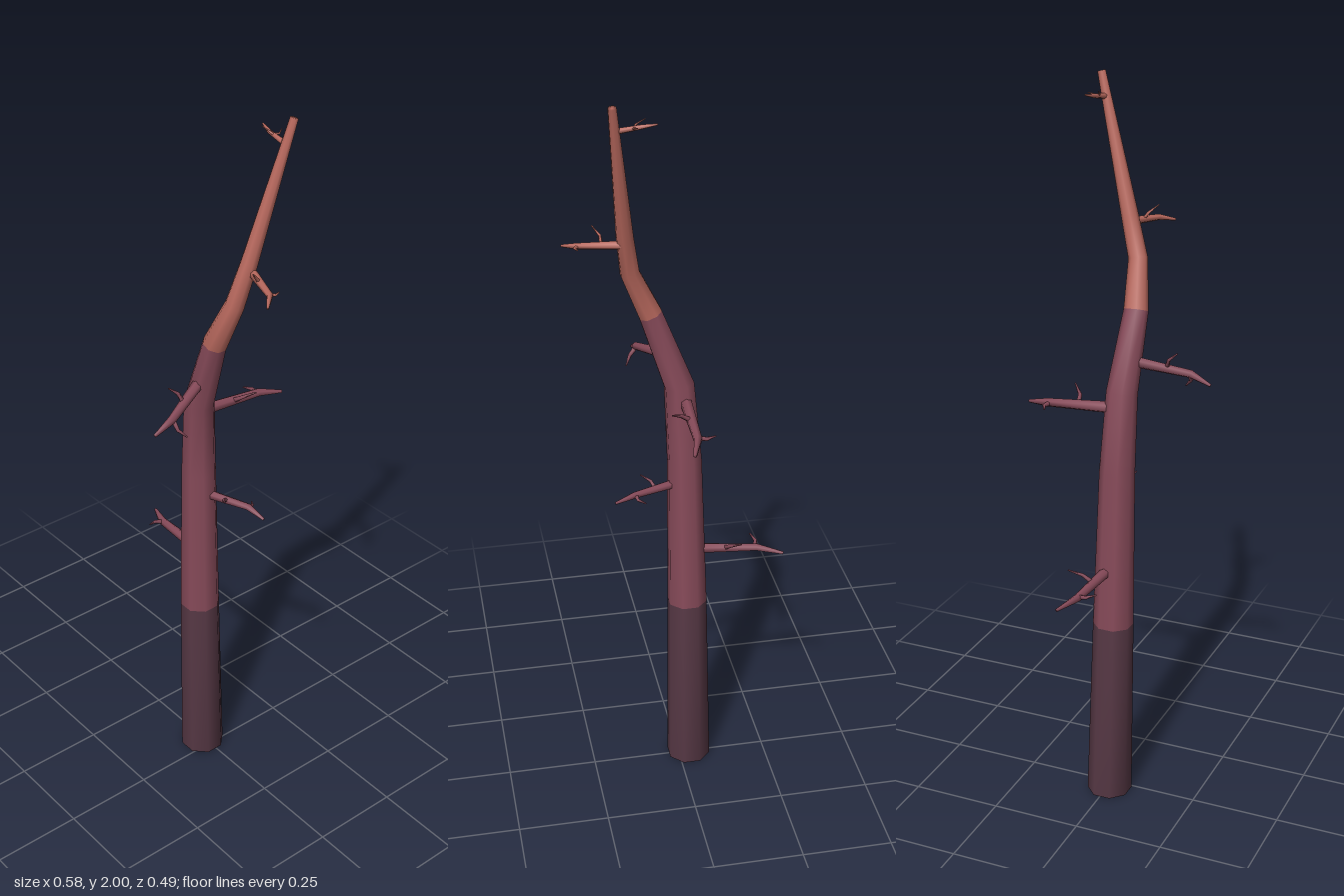
import * as THREE from 'three';

const material = (name, color) => {
  const m = new THREE.MeshStandardMaterial({ color });
  m.name = name;
  return m;
};

// Closed tapered limb through centres with radii; bands = [[firstRing, materialIndex], ...]
function limb(centres, radii, sides, ref, bands = [[0, 0]], flatStart = false) {
  const last = centres.length - 1;
  const pos = [], index = [];
  const dir = (a, b) => centres[b].clone().sub(centres[a]).normalize();
  centres.forEach((centre, i) => {
    const t = new THREE.Vector3();
    if (i > 0) t.add(dir(i - 1, i));
    if (i < last) t.add(dir(i, i + 1));
    t.normalize();
    if (flatStart && i === 0) t.set(0, 1, 0);
    const u = ref.clone().cross(t).normalize();
    const v = t.clone().cross(u);
    for (let k = 0; k < sides; k++) {
      const a = ((k + 0.5) / sides) * Math.PI * 2;
      const p = centre.clone()
        .addScaledVector(u, Math.cos(a) * radii[i])
        .addScaledVector(v, Math.sin(a) * radii[i]);
      pos.push(p.x, p.y, p.z);
    }
  });
  const startCentre = pos.length / 3;
  pos.push(...centres[0].toArray(), ...centres[last].toArray());

  const geo = new THREE.BufferGeometry();
  let groupStart = 0;
  bands.forEach(([first, mat], b) => {
    const end = b + 1 < bands.length ? bands[b + 1][0] : last;
    for (let i = first; i < end; i++) {
      for (let k = 0; k < sides; k++) {
        const a = i * sides + k, c = i * sides + ((k + 1) % sides);
        index.push(a, c, c + sides, a, c + sides, a + sides);
        if (i === 0) index.push(startCentre, c, a);
        if (i === last - 1) index.push(startCentre + 1, a + sides, c + sides);
      }
    }
    geo.addGroup(groupStart, index.length - groupStart, mat);
    groupStart = index.length;
  });
  geo.setAttribute('position', new THREE.Float32BufferAttribute(pos, 3));
  geo.setIndex(index);
  geo.computeVertexNormals();
  return geo;
}

const UP = new THREE.Vector3(0, 1, 0);
const vec = (p) => new THREE.Vector3(...p);

// Branch bent at a knee; each twig is [fraction from root to knee, tip]
function makeBranch(name, mat, r, root, knee, tip, ...twigs) {
  const group = new THREE.Group();
  group.name = name;
  const add = (part, path, radii, sides) => {
    const mesh = new THREE.Mesh(limb(path, radii, sides, UP), mat);
    mesh.name = part;
    group.add(mesh);
  };
  const path = [root, knee, tip].map(vec);
  add('branchLimb', path, [r, r * 0.7, r * 0.28], 6);
  const along = path[1].clone().sub(path[0]).normalize();
  for (const [fraction, twigTip] of twigs) {
    const start = path[0].clone().lerp(path[1], fraction);
    const end = vec(twigTip);
    // Elbows lean outward beside the knee and inward elsewhere
    const elbow = start.clone().lerp(end, 0.5)
      .addScaledVector(along, fraction > 0.9 ? 0.009 : -0.009);
    add('twig', [start, elbow, end], [r * 0.45, r * 0.32, r * 0.12], 5);
  }
  return group;
}

export function createModel() {
  const model = new THREE.Group();
  model.name = 'bareTree';
  const darkBark = material('darkBark', 0x583946);
  const midBark = material('midBark', 0x884b5a);
  const lightBark = material('lightBark', 0xb9695e);

  // Trunk: one smooth limb in three bark colours
  const trunkPath = [
    [-0.03, 0, 0.005], [-0.027, 0.53, 0.015], [-0.02, 0.98, 0.023], [-0.007, 1.2, 0.031],
    [0.067, 1.405, 0.039], [0.122, 1.53, 0.021], [0.138, 1.64, -0.01], [0.178, 1.998, -0.107],
  ].map(vec);
  const trunkRadii = [0.063, 0.056, 0.048, 0.042, 0.033, 0.026, 0.023, 0.011];
  const trunk = new THREE.Mesh(
    limb(trunkPath, trunkRadii, 8, new THREE.Vector3(0, 0, 1), [[0, 0], [1, 1], [4, 2]], true),
    [darkBark, midBark, lightBark]);
  trunk.name = 'trunk';

  // Branches spiralling up the trunk
  model.add(
    trunk,
    makeBranch('lowRightBranch', midBark, 0.016,
      [-0.03, 0.7, 0.01], [-0.22, 0.69, -0.004], [-0.29, 0.68, -0.033],
      [0.97, [-0.212, 0.705, 0.047]], [0.53, [-0.165, 0.737, -0.057]]),
    makeBranch('lowLeftBranch', midBark, 0.014,
      [-0.01, 0.91, 0.02], [0.125, 0.91, -0.03], [0.179, 0.895, -0.038],
      [0.98, [0.1, 0.9, -0.063]], [0.55, [0.1, 0.937, 0.03]]),
    makeBranch('backBranch', midBark, 0.017,
      [-0.02, 1.16, 0.02], [-0.015, 1.145, -0.18], [0.005, 1.133, -0.245],
      [0.97, [-0.065, 1.143, -0.168]], [0.55, [0.04, 1.19, -0.125]]),
    makeBranch('frontBranch', midBark, 0.016,
      [0.012, 1.285, 0.03], [0.081, 1.245, 0.19], [0.082, 1.22, 0.245],
      [0.98, [0.112, 1.2, 0.165]], [0.63, [0.04, 1.31, 0.167]]),
    makeBranch('upperLeftBranch', lightBark, 0.012,
      [0.135, 1.62, -0.015], [0.255, 1.61, 0.025], [0.288, 1.6, 0.06],
      [0.96, [0.255, 1.61, -0.005]], [0.5, [0.213, 1.655, 0.043]]),
    makeBranch('topBranch', lightBark, 0.008,
      [0.172, 1.935, -0.09], [0.105, 1.945, -0.095], [0.07, 1.952, -0.105],
      [0.78, [0.12, 1.95, -0.12]], [0.7, [0.095, 1.96, -0.08]]),
  );
  return model;
}
